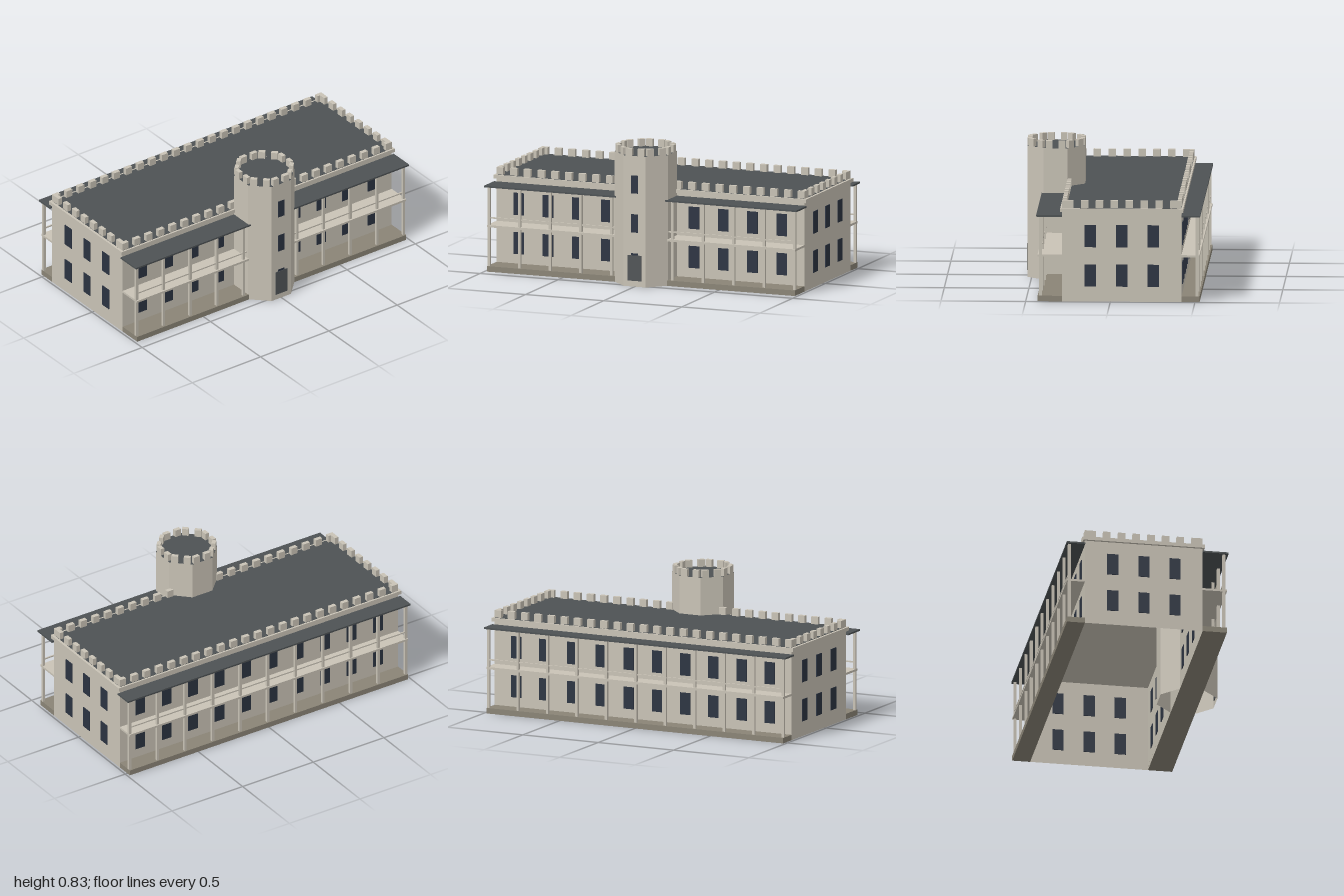
import * as THREE from 'three';

export function createModel() {
  const model = new THREE.Group();
  const mat = (name, color, extra = {}) => new THREE.MeshStandardMaterial({ name, color, ...extra });
  const stone = mat('stone', 0xc9c3b6, { side: THREE.DoubleSide });
  const slate = mat('slate', 0x4d5254);
  const glass = mat('window glass', 0x2b3341);
  const base = mat('terrace stone', 0x8a8476);
  const doorMat = mat('door', 0x505457);

  const add = (parent, name, geo, material, x = 0, y = 0, z = 0) => {
    const m = new THREE.Mesh(geo, material);
    m.name = name;
    m.position.set(x, y, z);
    parent.add(m);
    return m;
  };
  // Box given by its extents on each axis
  const span = (parent, name, material, x0, x1, y0, y1, z0, z1) =>
    add(parent, name, new THREE.BoxGeometry(x1 - x0, y1 - y0, z1 - z0), material,
      (x0 + x1) / 2, (y0 + y1) / 2, (z0 + z1) / 2);
  const group = (name, parent = model) => {
    const g = new THREE.Group();
    g.name = name;
    parent.add(g);
    return g;
  };

  const W = 0.985, FRONT = 0.285, BACK = -0.42, MID = (FRONT + BACK) / 2;
  const WALL = 0.535, ROOF = 0.557;

  // Main block: four walls, open underneath
  const wallGeo = new THREE.BoxGeometry(2 * W, WALL, FRONT - BACK);
  const idx = Array.from(wallGeo.index.array);
  wallGeo.setIndex([...idx.slice(0, 12), ...idx.slice(24)]);
  wallGeo.clearGroups();
  add(model, 'mainWalls', wallGeo, stone, 0, WALL / 2, MID);
  span(model, 'cornice', stone, -1, 1, WALL, ROOF, BACK - 0.011, FRONT + 0.011);
  span(model, 'mainRoof', slate, -W, W, ROOF - 0.005, ROOF + 0.002, BACK, FRONT);

  // Battlements round the main roof
  const battlements = group('mainBattlements');
  const M = 0.044, D = 0.025, TOP = 0.603;
  for (let i = 0; i < 23; i++) {
    const x = (i - 11) * 0.0876;
    for (const z of [FRONT - D, BACK]) {
      if (z > 0 && Math.abs(x) < 0.13) continue; // the tower stands here
      span(battlements, 'merlon', stone, x - M / 2, x + M / 2, ROOF, TOP, z, z + D);
    }
  }
  for (let i = 0; i < 8; i++) {
    const z = MID + (i - 3.5) * 0.088;
    for (const x of [-W, W - D]) span(battlements, 'merlon', stone, x, x + D, ROOF, TOP, z - M / 2, z + M / 2);
  }

  // Windows in two storeys on all four sides
  const windows = group('windows');
  const WW = 0.067, T = 0.004;
  for (const [y0, y1] of [[0.09, 0.222], [0.325, 0.458]]) {
    for (let i = 0; i < 10; i++) {
      const x = (i - 4.5) * 0.187;
      span(windows, 'backWindow', glass, x - WW / 2, x + WW / 2, y0, y1, BACK - T, BACK + T);
      if (Math.abs(x) > 0.2)
        span(windows, 'frontWindow', glass, x - WW / 2, x + WW / 2, y0, y1, FRONT - T, FRONT + T);
    }
    for (const z of [0.119, -0.067, -0.254])
      for (const s of [-1, 1])
        span(windows, 'sideWindow', glass, s * W - T, s * W + T, y0, y1, z - WW / 2, z + WW / 2);
  }

  // Two-storey verandas
  const veranda = (name, wall, edge, roofEdge, postZ, isFront) => {
    const g = group(name);
    const [z0, z1] = [Math.min(wall, edge), Math.max(wall, edge)];
    const [r0, r1] = [Math.min(wall, roofEdge), Math.max(wall, roofEdge)];
    span(g, 'terrace', base, -W, W, 0, 0.033, z0, z1);
    span(g, 'porchRoof', slate, -1, 1, 0.507, 0.517, r0, r1);
    // The front floor and rail stop at the tower
    const runs = isFront ? [[-W, -0.16], [0.16, W]] : [[-W, W]];
    for (const [a, b] of runs) {
      span(g, 'balconyFloor', stone, a, b, 0.267, 0.28, z0, z1);
      span(g, 'balconyRail', stone, a, b, 0.318, 0.326, postZ - 0.004, postZ + 0.004);
    }
    for (let i = -5; i <= 5; i++) {
      if (isFront && i === 0) continue;
      const x = i * 0.1954;
      span(g, 'post', stone, x - 0.008, x + 0.008, 0.033, 0.507, postZ - 0.008, postZ + 0.008);
    }
  };
  veranda('frontVeranda', FRONT, 0.43, 0.438, 0.412, true);
  veranda('backVeranda', BACK, -0.527, -0.53, -0.512, false);

  // Octagonal entrance tower
  const tower = group('tower');
  tower.position.z = 0.355;
  const A = 0.17, R = A / Math.cos(Math.PI / 8), H = 0.785;
  const octagon = (r, h, open) => {
    const geo = new THREE.CylinderGeometry(r, r, h, 8, 1, open, Math.PI / 8).toNonIndexed();
    geo.computeVertexNormals();
    return geo;
  };
  add(tower, 'towerWalls', octagon(R, H, true), stone, 0, H / 2, 0);
  add(tower, 'towerRoof', octagon(R - 0.001, 0.008, false), slate, 0, H - 0.004, 0);
  for (let k = 0; k < 8; k++) {
    const side = group('towerBattlement', tower);
    side.rotation.y = k * Math.PI / 4;
    for (const x of [-0.038, 0.038])
      span(side, 'merlon', stone, x - 0.02, x + 0.02, H, 0.829, A - 0.025, A);
  }
  for (const [y0, y1] of [[0.09, 0.2], [0.325, 0.435], [0.56, 0.668]])
    span(tower, 'towerWindow', glass, -0.022, 0.022, y0, y1, A - 0.002, A + 0.002);
  span(tower, 'door', doorMat, -0.043, 0.043, 0.035, 0.188, A - 0.003, A + 0.005);

  return model;
}
